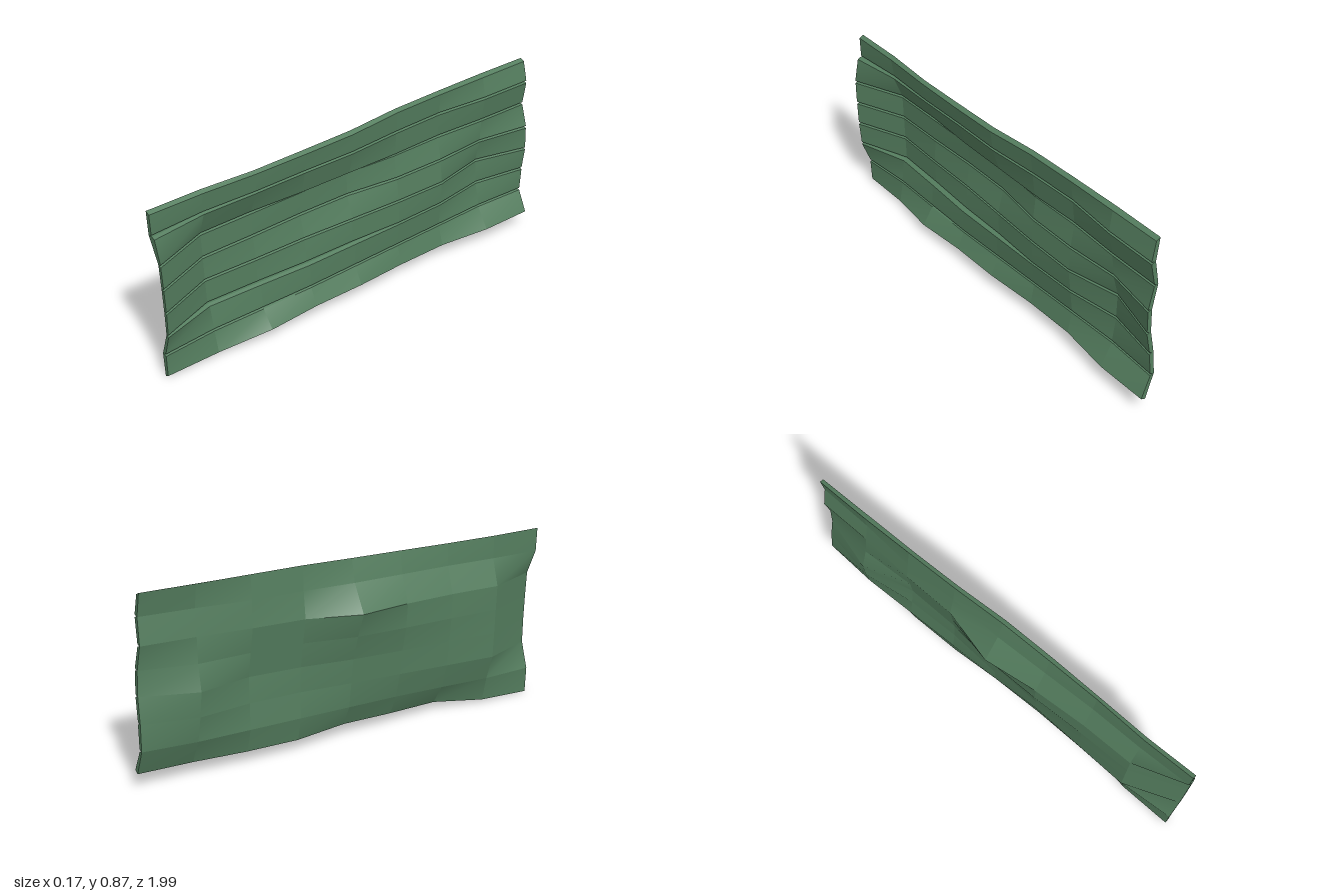
import * as THREE from 'three';

// Seven warped planks joined into one thin, wavy wall panel.
const COLS = 9, GROOVE = 0.014, GAP = 0.006, LEDGE = 0.01;

// x of the grooved face: one row per station (front to rear), one value per seam (top to bottom)
const OUTER = [
  [0.01, 0.01, 0.054, 0.056, 0.056, 0.05, 0.012, 0.01],
  [0.012, 0.0, -0.035, -0.035, -0.035, -0.035, 0.0, 0.02],
  [0.025, 0.015, -0.03, -0.03, -0.02, -0.02, 0.01, 0.065],
  [0.035, 0.02, -0.01, -0.03, -0.01, 0.0, 0.02, 0.055],
  [0.04, 0.03, 0.0, -0.02, 0.01, 0.01, 0.02, 0.06],
  [0.03, 0.02, 0.01, 0.02, 0.03, 0.03, 0.02, 0.04],
  [0.03, 0.02, 0.01, 0.03, 0.04, 0.03, 0.02, 0.045],
  [0.035, 0.05, 0.03, 0.02, -0.005, 0.0, 0.02, 0.08],
  [0.04, 0.06, 0.04, 0.068, 0.068, 0.05, 0.04, 0.085],
];
// x of the plain back face
const BACK = [
  [-0.01, -0.01, 0.038, 0.04, 0.04, 0.036, -0.01, -0.01],
  [-0.008, -0.012, -0.055, -0.055, -0.055, -0.055, -0.022, 0.0],
  [0.008, -0.005, -0.05, -0.052, -0.045, -0.04, -0.01, 0.045],
  [0.014, -0.008, -0.06, -0.055, -0.035, -0.025, 0.0, 0.035],
  [0.018, -0.01, -0.088, -0.05, -0.02, -0.01, 0.0, 0.04],
  [0.01, 0.0, -0.02, -0.005, 0.01, 0.01, 0.0, 0.02],
  [0.01, 0.0, -0.01, 0.005, 0.02, 0.01, 0.0, 0.025],
  [0.012, 0.025, 0.01, -0.002, -0.03, -0.02, 0.0, 0.05],
  [0.02, 0.038, 0.02, 0.047, 0.047, 0.028, 0.02, 0.063],
];
// Seams where the lower plank stands proud of (or behind) the upper one
const STEPS = {
  1: [0.02, 0.005, 0, 0, 0, 0, 0, 0, 0],
  2: [0, 0, 0, -0.015, -0.02, -0.005, 0, 0, 0],
  5: [0, 0.018, 0.02, 0.02, 0.015, 0, 0, 0, 0],
};
const TOP = [0.803, 0.808, 0.812, 0.822, 0.832, 0.848, 0.856, 0.863, 0.87];
const BOTTOM = [0.002, 0.014, 0.044, 0.053, 0.06, 0.055, 0.063, 0.069, 0.075];
const SEAMS = [0.73, 0.6125, 0.5, 0.387, 0.272, 0.155];

function seamY(row, col) {
  if (row === 0) return TOP[col];
  if (row === 7) return BOTTOM[col];
  return SEAMS[row - 1] - 0.035 * (1 - col / 4);
}

// Cross-section of a plank at one station: grooved at seams, sloping at the panel's rims
function section(row, col) {
  const yt = seamY(row, col), yb = seamY(row + 1, col);
  const bt = BACK[col][row], bb = BACK[col][row + 1];
  const xt = OUTER[col][row] + (STEPS[row]?.[col] ?? 0), xb = OUTER[col][row + 1];
  const loop = [
    [bt, yt],
    [Math.max(bt + 0.003, xt - GROOVE), row === 0 ? yt - 0.003 : yt],
    [xt, yt - (row === 0 ? LEDGE : GAP)],
    [xb, yb + (row === 6 ? LEDGE : GAP)],
    [Math.max(bb + 0.003, xb - GROOVE), row === 6 ? yb + 0.003 : yb],
    [bb, yb],
  ];
  const station = 0.983 * (1 - col / 4);
  return loop.map(([x, y]) => [x, y, station + 0.038 * (y - 0.44)]);
}

// Loft of the sections; every quad owns its corners so its edges stay sharp
function plankGeometry(row) {
  const pos = [], index = [];
  const quad = (a, b, c, d) => {
    const i = pos.length / 3;
    pos.push(...a, ...b, ...c, ...d);
    index.push(i, i + 1, i + 3, i + 1, i + 2, i + 3);
  };
  const rings = Array.from({ length: COLS }, (_, col) => section(row, col));
  for (let c = 0; c < COLS - 1; c++) {
    const p = rings[c], q = rings[c + 1];
    p.forEach((_, j) => {
      const k = (j + 1) % p.length;
      quad(p[j], p[k], q[k], q[j]);
    });
  }
  // End caps
  const f = rings[0], r = rings[COLS - 1];
  quad(f[0], f[5], f[4], f[1]);
  quad(f[1], f[4], f[3], f[2]);
  quad(r[0], r[1], r[4], r[5]);
  quad(r[1], r[2], r[3], r[4]);
  const geo = new THREE.BufferGeometry();
  geo.setAttribute('position', new THREE.Float32BufferAttribute(pos, 3));
  geo.setIndex(index);
  geo.computeVertexNormals();
  return geo;
}

export function createModel() {
  const group = new THREE.Group();
  group.name = 'plankPanel';
  const material = new THREE.MeshStandardMaterial({ color: 0x547d5e });
  for (let row = 0; row < 7; row++) {
    const plank = new THREE.Mesh(plankGeometry(row), material);
    plank.name = `plank${row + 1}`;
    group.add(plank);
  }
  return group;
}
